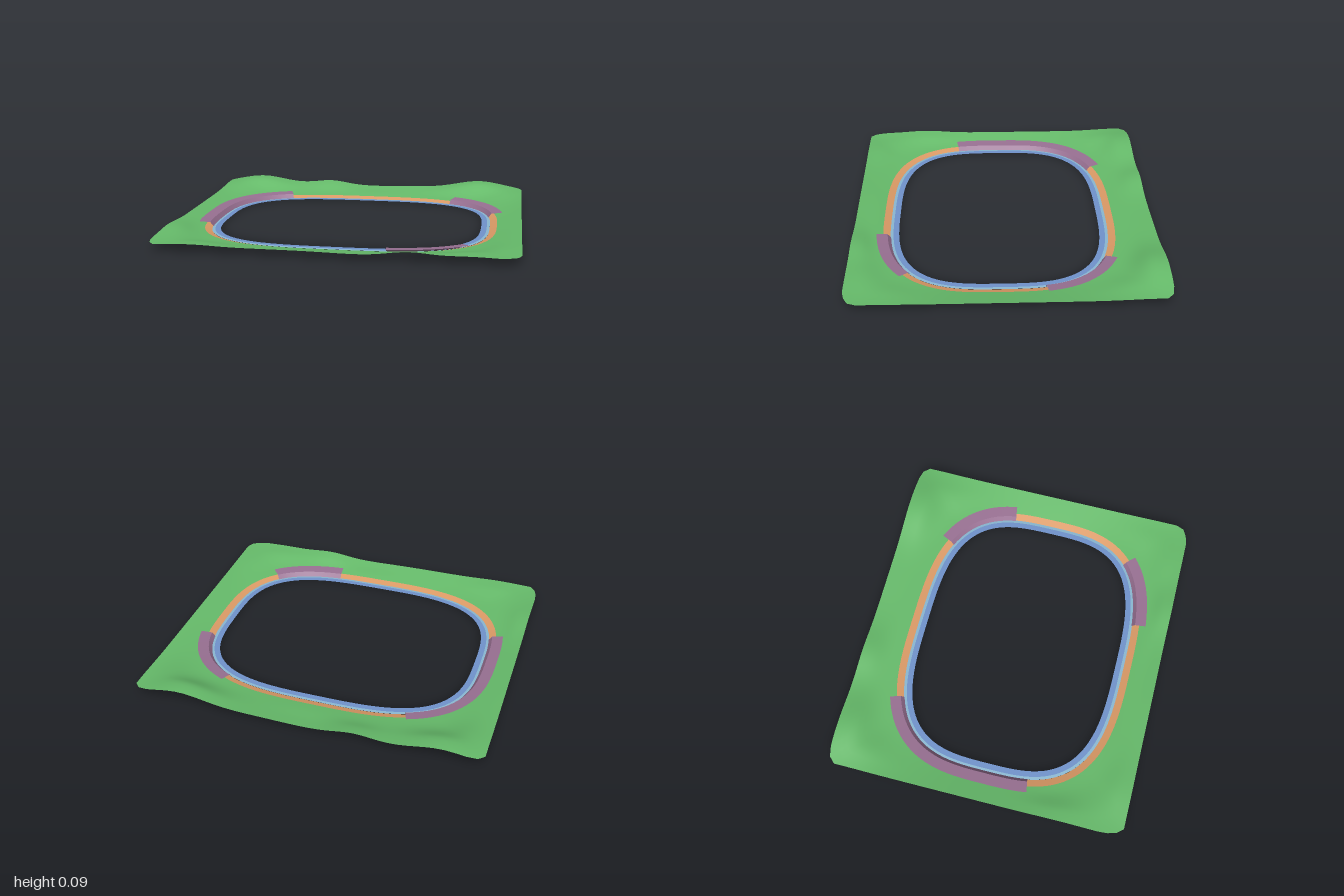
import * as THREE from 'three';

const A = 0.765, B = 0.59, CZ = 0.03, N = 3.2; // shoreline superellipse
const SEG = 192, DEG = Math.PI / 180;

const mat = (name, color) => {
  const m = new THREE.MeshStandardMaterial({ color, side: THREE.DoubleSide });
  m.name = name;
  return m;
};

// point at a distance outside the shoreline, along its normal
function shore(angle, offset) {
  const c = Math.cos(angle), s = Math.sin(angle);
  const r = (Math.abs(c / A) ** N + Math.abs(s / B) ** N) ** (-1 / N);
  const x = r * c, z = r * s;
  const nx = Math.sign(x) * Math.abs(x / A) ** (N - 1) / A;
  const nz = Math.sign(z) * Math.abs(z / B) ** (N - 1) / B;
  const l = Math.hypot(nx, nz);
  return [x + (nx / l) * offset, z + CZ + (nz / l) * offset];
}

// point on the chamfered rectangular border, along the ray through (x, z)
function border(x, z) {
  const ax = Math.abs(x), az = Math.abs(z);
  let k = 0.2, c = 1.055;                              // back corners
  if (z > 0) [k, c] = x < 0 ? [3.33, 4.105] : [0.53, 1.36]; // front corners
  const f = Math.min(1 / ax, 0.875 / az, c / (k * ax + az));
  return [x * f, z * f];
}

// hills: x, z, height, spread
const HILLS = [
  [-0.78, -0.8, 0.05, 0.14], [0.72, -0.8, 0.056, 0.15], [-0.3, -0.87, 0.024, 0.1],
  [0.42, 0.86, 0.019, 0.1], [0.74, 0.7, 0.02, 0.12], [-0.95, 0.5, 0.018, 0.12],
  [-0.75, 0.75, 0.015, 0.12], [0, -0.87, -0.006, 0.15], [0.15, 0.87, -0.006, 0.15],
];

function ground(angle, t) {
  const p = shore(angle, 0.092), q = border(p[0], p[1]);
  const x = p[0] + (q[0] - p[0]) * t, z = p[1] + (q[1] - p[1]) * t;
  let hill = 0;
  for (const [hx, hz, h, w] of HILLS)
    hill += h * Math.exp(-((x - hx) ** 2 + (z - hz) ** 2) / (2 * w * w));
  const y = 0.012 + 0.032 * t + hill * THREE.MathUtils.smoothstep(t, 0.1, 0.7);
  return [x, y, z];
}

// surface swept around the shoreline; point(angle, row) gives each vertex
function sweep(point, rows, from = 0, to = 360) {
  const closed = to - from === 360;
  const n = closed ? SEG : Math.ceil((to - from) / 2);
  const cols = closed ? n : n + 1, pos = [], idx = [];
  for (let j = 0; j < rows; j++)
    for (let i = 0; i < cols; i++)
      pos.push(...point((from + (to - from) * i / n) * DEG, j));
  for (let j = 0; j < rows - 1; j++)
    for (let i = 0; i < n; i++) {
      const a = j * cols + i, b = j * cols + (i + 1) % cols;
      idx.push(a, b, a + cols, b, b + cols, a + cols);
    }
  const g = new THREE.BufferGeometry();
  g.setAttribute('position', new THREE.Float32BufferAttribute(pos, 3));
  g.setIndex(idx);
  g.computeVertexNormals();
  return g;
}

// band from a list of [offset, height] pairs
const band = (profile, from, to) => sweep((a, j) => {
  const [x, z] = shore(a, profile[j][0]);
  return [x, profile[j][1], z];
}, profile.length, from, to);

export function createModel() {
  const model = new THREE.Group();
  model.name = 'lakeShore';
  const grass = mat('grass green', 0x66bb6a);
  const sand = mat('sand orange', 0xdc9b66);
  const rock = mat('rock purple', 0x987092);
  const deep = mat('deep water blue', 0x7093cc);
  const shallow = mat('shallow water blue', 0x8ab8d2);
  const add = (name, geometry, material) => {
    const m = new THREE.Mesh(geometry, material);
    m.name = name;
    model.add(m);
  };

  // water and beach rings
  add('deepWater', band([[0, 0.002], [0.033, 0.002]]), deep);
  add('shallowWater', band([[0.033, 0.002], [0.05, 0.001]]), shallow);
  add('beach', band([[0.05, 0], [0.092, 0.012]]), sand);

  // rolling land around the beach
  const ROWS = 13;
  add('land', sweep((a, j) => ground(a, j / (ROWS - 1)), ROWS), grass);

  // cliffs: steep face and sloping top, by angle range
  const cliffs = [['left', 162.6, 228.3], ['backRight', 314.5, 343.3], ['frontRight', 35.8, 64.6]];
  for (const [name, from, to] of cliffs) {
    add(name + 'CliffFace', band([[0.046, 0], [0.066, 0.026]], from, to), rock);
    add(name + 'CliffTop', band([[0.066, 0.026], [0.13, 0.032]], from, to), rock);
  }
  return model;
}
